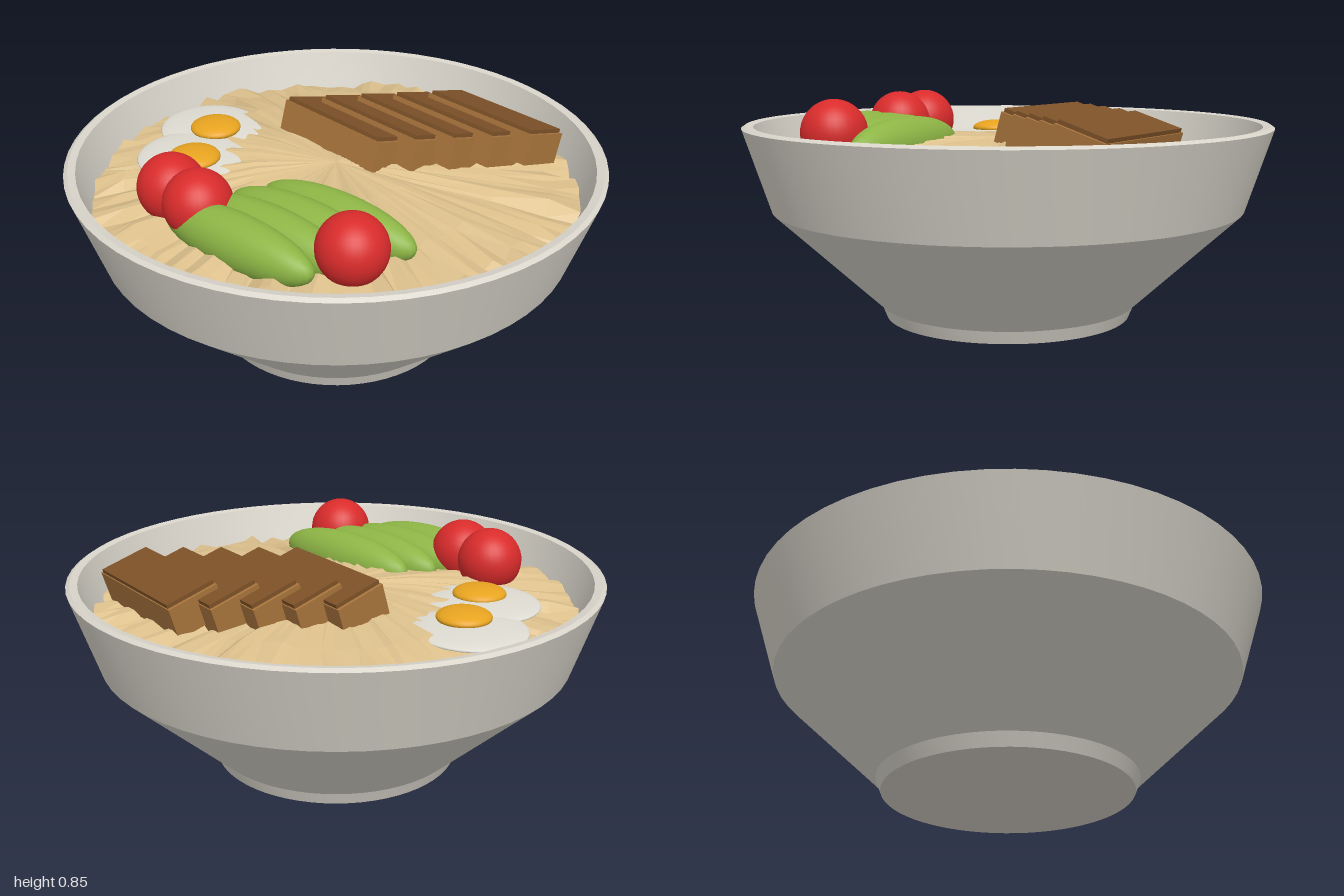
import * as THREE from 'three';
import { toCreasedNormals } from 'three/addons/utils/BufferGeometryUtils.js';

const paint = (name, color) => {
  const m = new THREE.MeshStandardMaterial({ color });
  m.name = name;
  return m;
};

// Small seeded generator, returns values from -1 to 1
function seeded(seed) {
  return () => {
    seed = (seed * 16807) % 2147483647;
    return (seed / 2147483647) * 2 - 1;
  };
}

// Domed disc of radial folds
function noodleGeometry() {
  const rand = seeded(4217), spokes = 110;
  const radii = [0.3, 0.6, 0.8, 0.92];
  const positions = [0, 0.69, 0], index = [];
  for (let s = 0; s < spokes; s++) {
    const fold = rand();
    for (const r of radii) {
      const t = r / 0.92;
      const a = ((s + rand() * 0.42) / spokes) * Math.PI * 2;
      const y = 0.69 - 0.085 * t * t + (fold * 0.022 + rand() * 0.012) * t;
      positions.push(r * Math.cos(a), y, r * Math.sin(a));
    }
  }
  const n = radii.length;
  for (let s = 0; s < spokes; s++) {
    const a = 1 + s * n, b = 1 + ((s + 1) % spokes) * n;
    index.push(0, b, a);
    for (let k = 0; k < n - 1; k++) {
      index.push(a + k, b + k, a + k + 1, b + k, b + k + 1, a + k + 1);
    }
  }
  let g = new THREE.BufferGeometry();
  g.setAttribute('position', new THREE.Float32BufferAttribute(positions, 3));
  g.setIndex(index);
  g = g.toNonIndexed();
  g.computeVertexNormals();
  return g;
}

export function createModel() {
  const model = new THREE.Group();
  model.name = 'noodleBowl';

  const ceramic = paint('ceramic', 0xd8d4ca);
  const noodle = paint('noodle', 0xdcc08c);
  const eggWhite = paint('eggWhite', 0xdedbd2);
  const yolk = paint('yolk', 0xe8a420);
  const tomato = paint('tomato', 0xd92b2b);
  const avocado = paint('avocado', 0x8db545);
  const meat = paint('meat', 0xa8743c);
  const crust = paint('crust', 0x7d5128);

  const add = (parent, name, geometry, material, x = 0, y = 0, z = 0) => {
    const mesh = new THREE.Mesh(geometry, material);
    mesh.name = name;
    mesh.position.set(x, y, z);
    parent.add(mesh);
    return mesh;
  };

  // Bowl: outside profile upward, then inside profile downward
  const profile = [
    [0, 0], [0.475, 0], [0.495, 0.05], [0.9, 0.43], [1, 0.74], [0.985, 0.75],
    [0.957, 0.745], [0.91, 0.6], [0.855, 0.45], [0.46, 0.08], [0, 0.07],
  ].map(([x, y]) => new THREE.Vector2(x, y));
  add(model, 'bowl', toCreasedNormals(new THREE.LatheGeometry(profile, 64), 0.3), ceramic);

  add(model, 'noodles', noodleGeometry(), noodle);

  const ball = new THREE.SphereGeometry(1, 32, 20);

  // Fried eggs
  const eggs = [
    { white: [-0.32, 0.655, -0.53], size: [0.205, 0.022, 0.22], yolk: [-0.32, 0.683, -0.48] },
    { white: [-0.47, 0.66, -0.31], size: [0.21, 0.022, 0.22], yolk: [-0.475, 0.683, -0.265] },
  ];
  for (const egg of eggs) {
    add(model, 'eggWhite', ball, eggWhite, ...egg.white).scale.set(...egg.size);
    add(model, 'eggYolk', ball, yolk, ...egg.yolk).scale.set(0.1, 0.032, 0.1);
  }

  // Cherry tomatoes
  for (const [x, z] of [[-0.635, 0], [-0.585, 0.15], [-0.215, 0.63]]) {
    add(model, 'tomato', ball, tomato, x, 0.72, z).scale.setScalar(0.125);
  }

  // Avocado wedges
  for (let i = 0; i < 4; i++) {
    const wedge = add(model, 'avocadoSlice', ball, avocado, -0.155 - i * 0.122, 0.67, 0.365);
    wedge.scale.set(0.095, 0.103, 0.335);
    wedge.rotation.y = 0.48;
  }

  // Meat slices leaning on one another, each with a dark crust
  const bodyGeometry = new THREE.BoxGeometry(0.2, 0.12, 0.525);
  const crustGeometry = new THREE.BoxGeometry(0.192, 0.02, 0.5);
  for (let i = 0; i < 5; i++) {
    const slice = new THREE.Group();
    slice.name = 'meatSlice';
    slice.position.set(0.13 + i * 0.1375, 0.783, -0.165 + i * 0.0425);
    slice.rotation.set(0, 0.34, -0.29, 'YXZ');
    add(slice, 'meatBody', bodyGeometry, meat, 0, -0.075, 0);
    add(slice, 'meatCrust', crustGeometry, crust, 0, -0.01, 0);
    model.add(slice);
  }

  return model;
}
